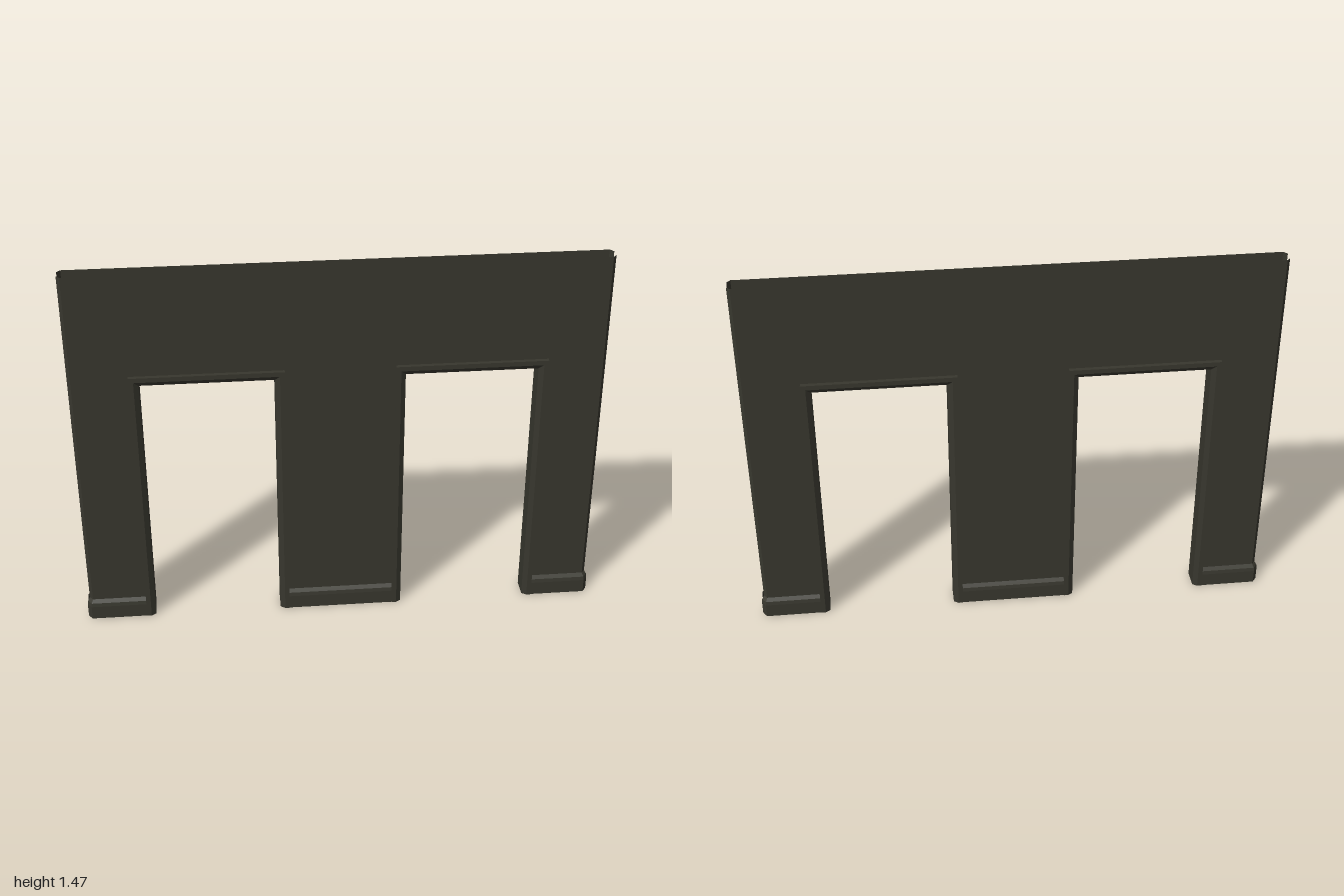
import * as THREE from 'three';

const H = 1.465, FACE = 0.032;          // wall height, half thickness
const IN = 0.24, OUT = 0.734, TOP = 1.03; // doorway inner edges
const TRIM = 0.036;                     // casing width

// Flat-shaded skin through rows of equally many [x, y, z] points
function skin(rows) {
  const pos = [];
  for (let i = 0; i < rows.length - 1; i++) {
    for (let j = 0; j < rows[i].length - 1; j++) {
      const a = rows[i][j], b = rows[i + 1][j], c = rows[i + 1][j + 1], d = rows[i][j + 1];
      pos.push(...a, ...b, ...c, ...a, ...c, ...d);
    }
  }
  const g = new THREE.BufferGeometry();
  g.setAttribute('position', new THREE.Float32BufferAttribute(pos, 3));
  g.computeVertexNormals();
  return g;
}

export function createModel() {
  const group = new THREE.Group();
  const paint = new THREE.MeshStandardMaterial({ color: 0x38372e, side: THREE.DoubleSide });
  paint.name = 'dark olive paint';
  const add = (parent, name, geometry) => {
    const m = new THREE.Mesh(geometry, paint);
    m.name = name;
    parent.add(m);
  };

  // Wall outline with two doorways open at the floor
  const edge = 0.977, tip = 0.99, tipZ = 0.016;
  const a = IN - 0.01 - 0.01, b = OUT + 0.02, t = TOP + 0.02;
  const outline = [
    [-edge, 0], [-b, 0], [-b, t], [-a, t], [-a, 0], [a, 0], [a, t], [b, t], [b, 0],
    [edge, 0], [edge, H], [-edge, H],
  ].map(p => new THREE.Vector2(...p));
  const sheet = new THREE.ShapeGeometry(new THREE.Shape(outline)).translate(0, 0, FACE);

  // Skirting profile: [outward offset, height]
  const skirt = [[0.014, 0], [0.014, 0.055], [0.011, 0.07], [0, 0.083]];
  const c0 = IN - TRIM, c1 = OUT + TRIM;

  for (const side of ['front', 'back']) {
    const half = new THREE.Group();
    half.name = side + 'Side';
    if (side === 'back') half.rotation.y = Math.PI;
    group.add(half);

    add(half, 'wallPanel', sheet);

    // Slanted returns at both wall ends
    add(half, 'rightReturn', skin([
      [[-tip, 0, tipZ], [-tip, H, tipZ]], [[-edge, 0, FACE], [-edge, H, FACE]]]));
    add(half, 'leftReturn', skin([
      [[edge, 0, FACE], [edge, H, FACE]], [[tip, 0, tipZ], [tip, H, tipZ]]]));

    // Skirting between and beside the doorways
    const flat = x => skirt.map(([o, y]) => [x, y, FACE + o]);
    const bend = s => skirt.map(([o, y]) => [s * (edge + o * 0.5), y, FACE + o]);
    const end = s => skirt.map(([o, y]) => [s * (tip + o * 0.714), y, tipZ + o * 0.6]);
    add(half, 'middleSkirting', skin([flat(-c0), flat(c0)]));
    add(half, 'leftSkirting', skin([flat(c1), bend(1), end(1)]));
    add(half, 'rightSkirting', skin([end(-1), bend(-1), flat(-c1)]));
  }

  // Door casings: mitred profile [distance from opening, z] swept round each doorway
  const profile = [
    [TRIM, FACE], [TRIM, 0.048], [0.018, 0.048], [0, 0.036],
    [0, -0.036], [0.018, -0.048], [TRIM, -0.048], [TRIM, -FACE],
  ];
  for (const s of [-1, 1]) {
    const x0 = s < 0 ? -OUT : IN, x1 = s < 0 ? -IN : OUT;
    const path = [[x0, 0, -1, 0], [x0, TOP, -1, 1], [x1, TOP, 1, 1], [x1, 0, 1, 0]];
    const rows = path.map(([x, y, dx, dy]) =>
      profile.map(([d, z]) => [x + dx * d, y + dy * d, z]).reverse());
    add(group, s < 0 ? 'rightDoorCasing' : 'leftDoorCasing', skin(rows));
  }
  return group;
}
